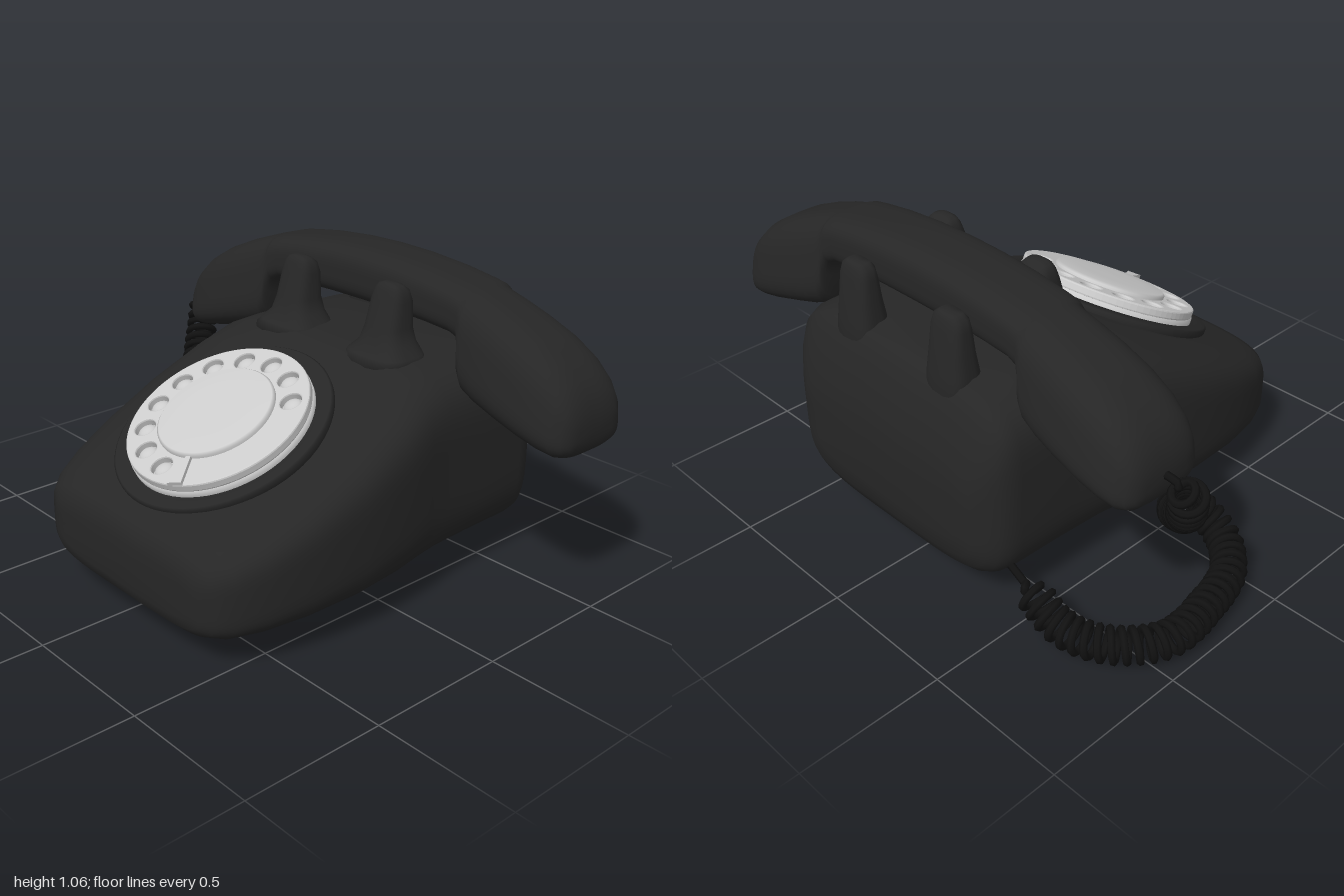
import * as THREE from 'three';

const CX = 0.062; // middle of the body and handset
const CZ = -0.43; // depth of the handset

const black = new THREE.MeshStandardMaterial({ color: 0x262626 });
const cordBlack = new THREE.MeshStandardMaterial({ color: 0x111111 });
const grey = new THREE.MeshStandardMaterial({ color: 0xcccccc });

function part(name, geometry, material, parent) {
  const mesh = new THREE.Mesh(geometry, material);
  mesh.name = name;
  parent.add(mesh);
  return mesh;
}

// Closed superellipse of [a, b] pairs in -1..1, counterclockwise
function superellipse(n, count) {
  const bend = (v) => Math.sign(v) * Math.abs(v) ** (2 / n);
  return Array.from({ length: count }, (_, j) => {
    const t = ((j + 0.5) / count) * Math.PI * 2;
    return [bend(Math.cos(t)), bend(Math.sin(t))];
  });
}

// Skin over equal rings, closed at both ends
function loft(rings) {
  const n = rings[0].length, last = rings.length - 1;
  const pos = rings.flat(2), index = [];
  for (let i = 0; i < last; i++) {
    for (let j = 0; j < n; j++) {
      const a = i * n + j, b = i * n + ((j + 1) % n);
      index.push(a, b, a + n, b, b + n, a + n);
    }
  }
  for (const i of [0, last]) {
    const c = pos.length / 3;
    for (let k = 0; k < 3; k++) pos.push(rings[i].reduce((s, p) => s + p[k], 0) / n);
    for (let j = 0; j < n; j++) {
      const a = i * n + j, b = i * n + ((j + 1) % n);
      if (i === 0) index.push(c, b, a);
      else index.push(c, a, b);
    }
  }
  const g = new THREE.BufferGeometry();
  g.setAttribute('position', new THREE.Float32BufferAttribute(pos, 3));
  g.setIndex(index);
  g.computeVertexNormals();
  return g;
}

// Body, back to front: z, bottom, top, half width
function bodyGeometry() {
  const sections = [
    [-0.735, 0.24, 0.46, 0.36], [-0.725, 0.17, 0.55, 0.42], [-0.70, 0.12, 0.64, 0.465],
    [-0.675, 0.095, 0.71, 0.495], [-0.645, 0.082, 0.765, 0.515], [-0.60, 0.08, 0.785, 0.525],
    [-0.40, 0.08, 0.79, 0.53], [-0.22, 0.08, 0.79, 0.54], [-0.12, 0.08, 0.778, 0.555],
    [0.0, 0.08, 0.725, 0.575], [0.2, 0.08, 0.628, 0.585], [0.4, 0.08, 0.53, 0.565],
    [0.55, 0.08, 0.458, 0.53], [0.65, 0.082, 0.41, 0.485], [0.70, 0.095, 0.38, 0.44],
    [0.722, 0.115, 0.345, 0.39], [0.73, 0.15, 0.30, 0.34],
  ];
  const outline = superellipse(4.4, 64);
  return loft(sections.map(([z, y0, y1, w]) =>
    outline.map(([a, b]) => [CX + a * w, (y0 + y1) / 2 + (b * (y1 - y0)) / 2, z])));
}

// Handset, middle to end: distance, bottom, top, half depth below and above
function handsetGeometry() {
  const half = [
    [0.0, 0.875, 1.067, 0.14, 0.135], [0.15, 0.874, 1.063, 0.14, 0.135],
    [0.30, 0.870, 1.05, 0.14, 0.135], [0.42, 0.862, 1.032, 0.14, 0.135],
    [0.465, 0.845, 1.024, 0.145, 0.135], [0.478, 0.79, 1.02, 0.155, 0.135],
    [0.485, 0.71, 1.018, 0.165, 0.135], [0.505, 0.675, 1.012, 0.175, 0.136],
    [0.56, 0.655, 0.995, 0.188, 0.14], [0.65, 0.63, 0.963, 0.20, 0.146],
    [0.75, 0.603, 0.92, 0.205, 0.15], [0.83, 0.584, 0.872, 0.20, 0.148],
    [0.885, 0.575, 0.82, 0.185, 0.142], [0.915, 0.583, 0.775, 0.165, 0.13],
    [0.932, 0.60, 0.73, 0.135, 0.11], [0.938, 0.63, 0.69, 0.09, 0.08],
  ];
  const mirrored = half.slice(1).reverse().map(([u, ...rest]) => [-u, ...rest]);
  const outline = superellipse(3.3, 40);
  return loft([...mirrored, ...half].map(([u, y0, y1, w0, w1]) =>
    outline.map(([a, b]) => [
      CX + u,
      (y0 + y1) / 2 + (a * (y1 - y0)) / 2,
      CZ + b * THREE.MathUtils.lerp(w0, w1, (a + 1) / 2),
    ])));
}

// Cradle horn, bottom to top: y, back z, front z, half width
function hornGeometry(sections) {
  const outline = superellipse(3, 24);
  return loft(sections.map(([y, z0, z1, w]) =>
    outline.map(([a, b]) => [b * w, y, (z0 + z1) / 2 + (a * (z1 - z0)) / 2])));
}

function flatExtrude(shape, depth, bevel) {
  const g = new THREE.ExtrudeGeometry(shape, {
    depth, curveSegments: 40, bevelEnabled: bevel > 0,
    bevelSize: bevel, bevelThickness: bevel, bevelOffset: -bevel, bevelSegments: 2,
  });
  return g.rotateX(-Math.PI / 2);
}

function turned(points) {
  return new THREE.LatheGeometry(points.map(([x, y]) => new THREE.Vector2(x, y)), 64);
}

function createDial() {
  const dial = new THREE.Group();
  dial.name = 'dial';
  dial.position.set(CX, 0.595, 0.31);
  dial.rotation.x = THREE.MathUtils.degToRad(26.3);

  part('dialBezel', turned([[0.36, -0.08], [0.385, -0.03], [0.385, -0.006], [0.378, 0],
    [0.34, 0], [0.335, -0.008], [0, -0.008]]), black, dial);
  part('dialBase', turned([[0.325, -0.01], [0.325, 0.012], [0.31, 0.016], [0, 0.016]]), grey, dial);

  // Finger wheel with ten holes, a domed button in each
  const wheel = new THREE.Shape().absarc(0, 0, 0.322, 0, Math.PI * 2);
  for (let i = 0; i < 10; i++) {
    const angle = THREE.MathUtils.degToRad(37 + i * 26);
    const x = 0.258 * Math.cos(angle), y = 0.258 * Math.sin(angle);
    wheel.holes.push(new THREE.Path().absarc(x, y, 0.037, 0, Math.PI * 2, true));
    const button = part('fingerButton', new THREE.SphereGeometry(0.034, 20, 6, 0, Math.PI * 2, 0, Math.PI / 2), grey, dial);
    button.scale.y = 0.6;
    button.position.set(x, 0.016, -y);
  }
  part('fingerWheel', flatExtrude(wheel, 0.02, 0.006), grey, dial).position.y = 0.018;
  part('dialCentre', turned([[0.206, 0.036], [0.206, 0.054], [0.198, 0.062], [0.12, 0.065], [0, 0.066]]), grey, dial);

  // Tapered finger stop
  const stop = new THREE.Shape([[0.068, -0.195], [0.1, -0.31], [0.145, -0.285], [0.084, -0.188]]
    .map(([x, y]) => new THREE.Vector2(x, y)));
  part('fingerStop', flatExtrude(stop, 0.014, 0), grey, dial).position.y = 0.042;
  return dial;
}

// Coiled cord from the back corner of the body, round the floor, up to the handset
function cordGeometry() {
  const path = new THREE.CatmullRomCurve3([
    [-0.42, 0.17, -0.62], [-0.53, 0.15, -0.64], [-0.66, 0.08, -0.635], [-0.80, 0.066, -0.58],
    [-0.915, 0.066, -0.43], [-0.90, 0.066, -0.22], [-0.85, 0.07, -0.06], [-0.74, 0.09, 0.04],
    [-0.64, 0.16, 0.03], [-0.63, 0.22, -0.06], [-0.71, 0.30, -0.17], [-0.83, 0.42, -0.28],
    [-0.91, 0.54, -0.37], [-0.935, 0.63, -0.41], [-0.91, 0.665, -0.43], [-0.82, 0.67, -0.43],
  ].map((p) => new THREE.Vector3(...p)));
  const turns = 58, steps = turns * 12;
  const frames = path.computeFrenetFrames(steps);
  const points = [];
  for (let i = 0; i <= steps; i++) {
    const t = i / steps, angle = t * turns * Math.PI * 2;
    const r = 0.05 * THREE.MathUtils.clamp(Math.min((t - 0.04) * 40, (0.955 - t) * 40), 0, 1);
    points.push(path.getPointAt(t)
      .addScaledVector(frames.normals[i], r * Math.cos(angle))
      .addScaledVector(frames.binormals[i], r * Math.sin(angle)));
  }
  const coil = new THREE.CatmullRomCurve3(points);
  coil.arcLengthDivisions = 3000;
  return new THREE.TubeGeometry(coil, steps * 1.5, 0.013, 6);
}

export function createModel() {
  const phone = new THREE.Group();
  phone.name = 'telephone';

  part('body', bodyGeometry(), black, phone);
  part('handset', handsetGeometry(), black, phone);

  // Two pairs of cradle horns
  const front = hornGeometry([
    [0.74, -0.34, -0.06, 0.15], [0.785, -0.32, -0.12, 0.125], [0.82, -0.31, -0.148, 0.09],
    [0.87, -0.30, -0.165, 0.075], [0.96, -0.295, -0.192, 0.07], [0.995, -0.285, -0.203, 0.06],
    [1.012, -0.265, -0.212, 0.045], [1.018, -0.25, -0.222, 0.025]]);
  const rear = hornGeometry([
    [0.62, -0.68, -0.54, 0.10], [0.78, -0.662, -0.54, 0.085], [0.85, -0.655, -0.55, 0.075],
    [0.93, -0.643, -0.56, 0.07], [0.965, -0.635, -0.565, 0.06], [0.98, -0.625, -0.575, 0.04]]);
  for (const side of [-1, 1]) {
    part('frontCradleHorn', front, black, phone).position.x = CX + side * 0.224;
    part('rearCradleHorn', rear, black, phone).position.x = CX + side * 0.224;
  }

  phone.add(createDial());
  part('coiledCord', cordGeometry(), cordBlack, phone);
  return phone;
}
